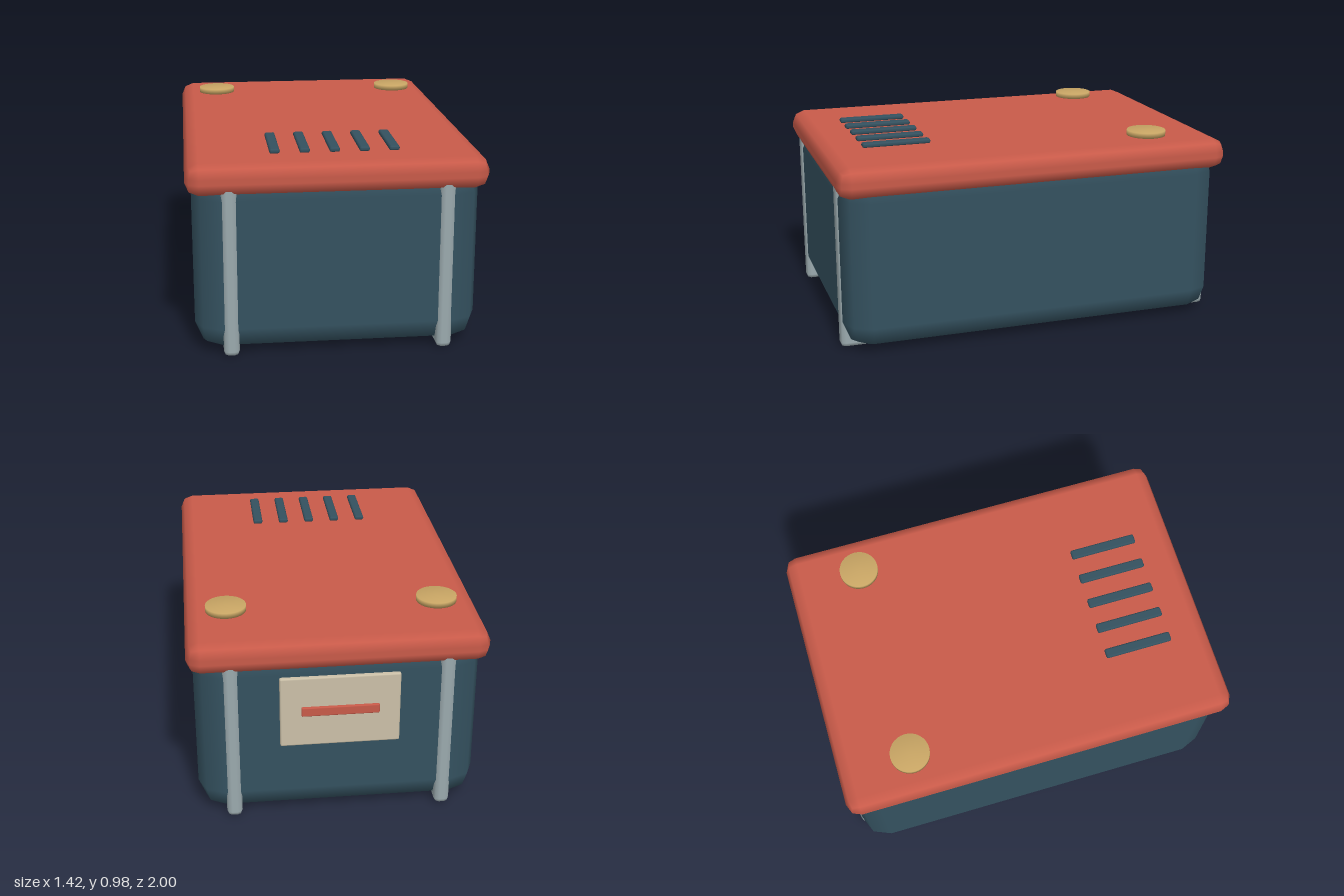
import * as THREE from 'three';
import { RoundedBoxGeometry } from 'three/addons/geometries/RoundedBoxGeometry.js';

const material = (name, color) => {
  const m = new THREE.MeshStandardMaterial({ color });
  m.name = name;
  return m;
};

export function createModel() {
  const red = material('coral red', 0xc85a49);
  const blue = material('slate blue', 0x34515f);
  const grey = material('steel grey', 0x9aa9ad);
  const brass = material('brass', 0xc8a564);
  const cream = material('cream', 0xcbc0a8);

  const model = new THREE.Group();
  model.name = 'lunchBox';
  const zc = 0.005; // centre of the case; the back handle fills the rest

  // Bevelled box given by its size, centre and edge radius
  const box = (name, mat, [w, h, d], [x, y, z], radius, parent = model) => {
    const mesh = new THREE.Mesh(new RoundedBoxGeometry(w, h, d, 1, radius), mat);
    mesh.name = name;
    mesh.position.set(x, y, z);
    parent.add(mesh);
    return mesh;
  };

  // Case and lid
  box('body', blue, [1.36, 0.89, 1.944], [0, 0.455, zc], 0.13);
  box('lid', red, [1.42, 0.155, 1.994], [0, 0.868, zc], 0.065);

  // U-shaped straps running down the front, under the case and up the back
  const t = 0.075;
  for (const side of [-1, 1]) {
    const strap = new THREE.Group();
    strap.name = side > 0 ? 'leftStrap' : 'rightStrap';
    const x = side * 0.51;
    for (const end of [-1, 1]) {
      const name = end > 0 ? 'frontStrap' : 'backStrap';
      box(name, grey, [t, 0.857, t], [x, 0.4315, zc + end * (0.983 - t / 2)], 0.025, strap);
    }
    box('bottomStrap', grey, [t, t, 1.966], [x, 0.003 + t / 2, zc], 0.025, strap);
    model.add(strap);
  }

  // Vent bars on the lid
  for (let i = -2; i <= 2; i++) {
    box('ventBar', blue, [0.05, 0.024, 0.345], [i * 0.1425, 0.955, 0.628], 0.01);
  }

  // Softly shaded lid knobs
  const knobProfile = [[0, 0], [0.098, 0], [0.098, 0.027], [0, 0.027]]
    .map(([r, y]) => new THREE.Vector2(r, y));
  const knobGeometry = new THREE.LatheGeometry(knobProfile, 32);
  for (const side of [-1, 1]) {
    const knob = new THREE.Mesh(knobGeometry, brass);
    knob.name = side > 0 ? 'leftKnob' : 'rightKnob';
    knob.position.set(side * 0.51, 0.955, -0.625);
    model.add(knob);
  }

  // Back plate with its handle bar
  box('backPlate', cream, [0.57, 0.364, 0.03], [0, 0.579, -0.972], 0.008);
  box('backHandle', red, [0.37, 0.047, 0.03], [0, 0.585, -0.985], 0.006);

  return model;
}
